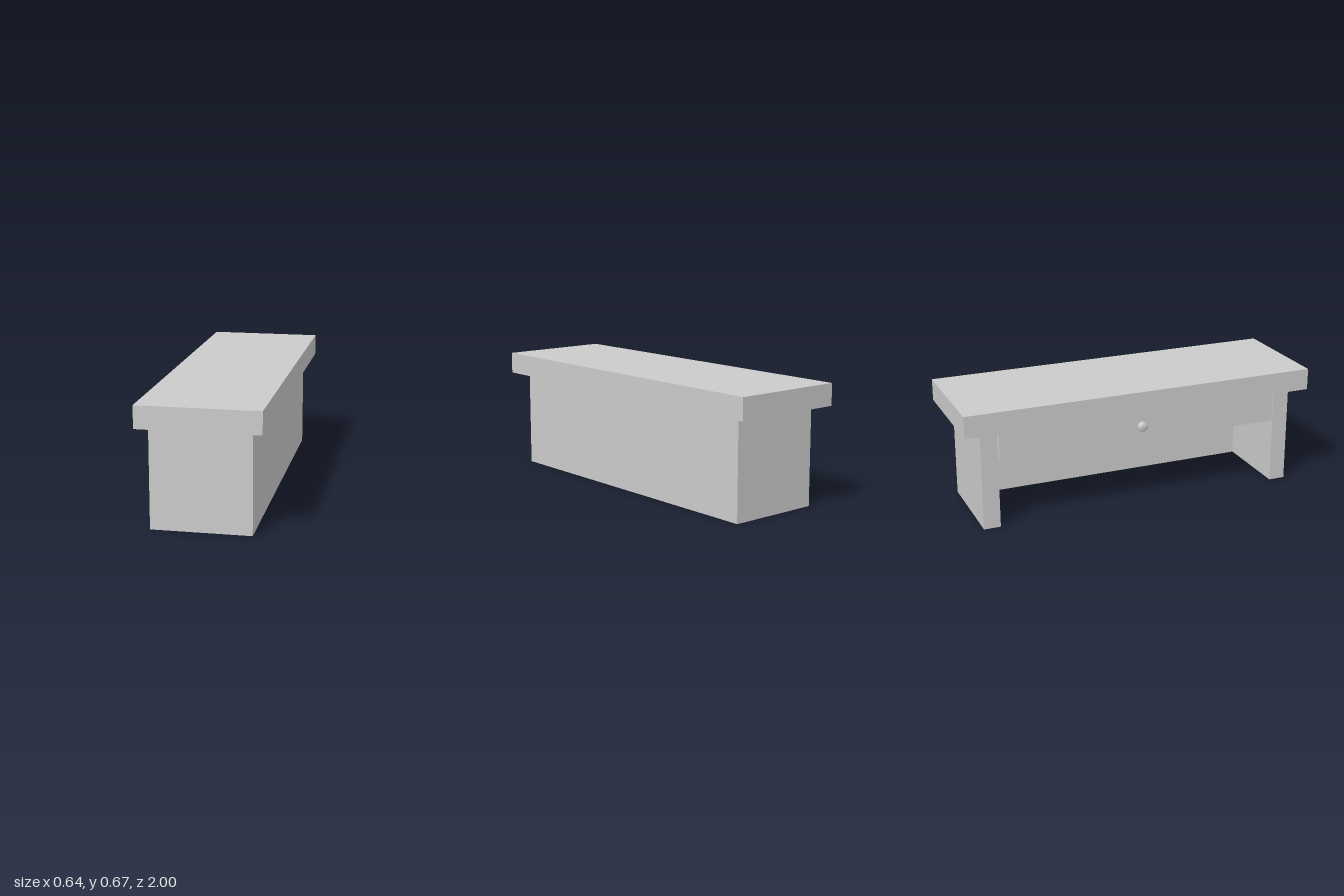
import * as THREE from 'three';

export function createModel() {
  const group = new THREE.Group();
  const material = new THREE.MeshStandardMaterial({ color: 0xcccccc });

  // Box given by its extents along each axis
  function box(name, [x0, x1], [y0, y1], [z0, z1]) {
    const mesh = new THREE.Mesh(new THREE.BoxGeometry(x1 - x0, y1 - y0, z1 - z0), material);
    mesh.position.set((x0 + x1) / 2, (y0 + y1) / 2, (z0 + z1) / 2);
    mesh.name = name;
    group.add(mesh);
  }

  // Thick overhanging top
  box('deskTop', [-0.32, 0.32], [0.547, 0.667], [-1, 1]);

  // End panels and the full-height panel closing the +x side
  box('leftEndPanel', [-0.27, 0.257], [0, 0.547], [0.813, 0.906]);
  box('rightEndPanel', [-0.27, 0.257], [0, 0.547], [-0.906, -0.813]);
  box('modestyPanel', [0.192, 0.257], [0, 0.547], [-0.813, 0.813]);

  // Drawer front, slightly proud of the end panels
  box('drawerFront', [-0.275, -0.232], [0.371, 0.54], [-0.806, 0.806]);

  // Turned knob: flared foot, narrow neck, flattened ball
  const profile = [[0.025, 0], [0.024, 0.003], [0.02, 0.006], [0.012, 0.008], [0.01, 0.01]];
  for (let i = 1; i <= 12; i++) {
    const a = -Math.PI / 2 + 0.35 + (i / 12) * (Math.PI - 0.35);
    profile.push([Math.max(0, 0.027 * Math.cos(a)), 0.0185 + 0.0115 * Math.sin(a)]);
  }
  const knob = new THREE.Mesh(
    new THREE.LatheGeometry(profile.map(([r, h]) => new THREE.Vector2(r, h)), 32), material);
  knob.rotation.z = Math.PI / 2;
  knob.position.set(-0.275, 0.456, 0);
  knob.name = 'drawerKnob';
  group.add(knob);

  return group;
}
